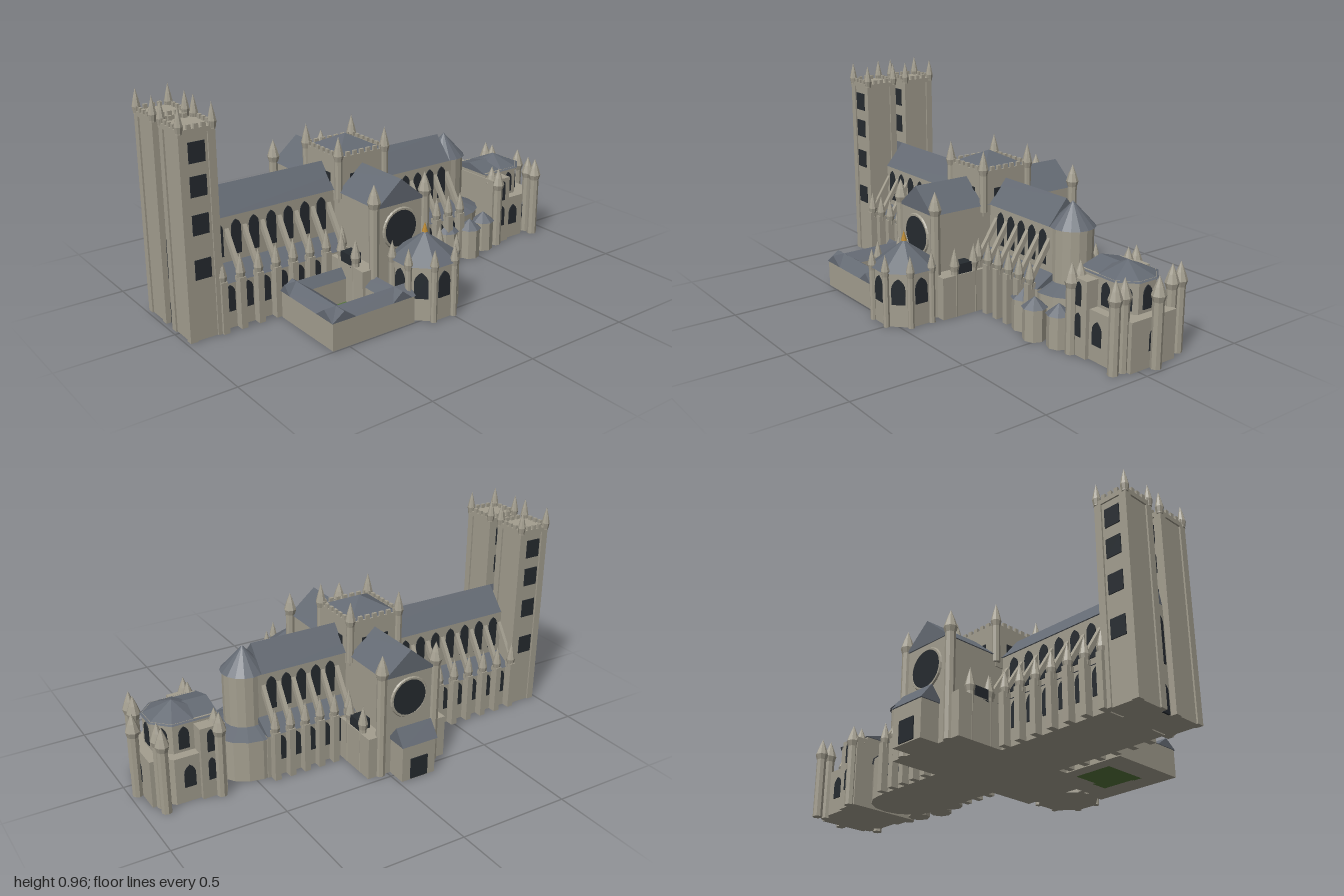
import * as THREE from 'three';

const mat = (color) => new THREE.MeshStandardMaterial({ color, flatShading: true, side: THREE.DoubleSide });
const ZC = -0.08; // long axis of the church
const XC = -0.1;  // crossing axis

export function createModel() {
  const root = new THREE.Group();
  const stone = mat(0xa39e8f), slate = mat(0x646a73), dark = mat(0x262b30), lawn = mat(0x55743a), gold = mat(0xb8862b);
  let part = root;
  const begin = (name) => { part = new THREE.Group(); part.name = name; root.add(part); };

  const add = (name, geo, m, x = 0, y = 0, z = 0) => {
    const mesh = new THREE.Mesh(geo, m);
    mesh.name = name;
    mesh.position.set(x, y, z);
    part.add(mesh);
    return mesh;
  };
  // box given by its limits on each axis
  const box = (name, m, x0, x1, y0, y1, z0, z1) =>
    add(name, new THREE.BoxGeometry(x1 - x0, y1 - y0, z1 - z0), m, (x0 + x1) / 2, (y0 + y1) / 2, (z0 + z1) / 2);
  const drum = (name, m, x, z, rBottom, rTop, y0, y1, n = 8, turn = 0) => {
    const mesh = add(name, new THREE.CylinderGeometry(rTop, rBottom, y1 - y0, n), m, x, (y0 + y1) / 2, z);
    mesh.rotation.y = turn;
    return mesh;
  };
  // (z, y) outline swept along x from x0 to x1
  const sweepX = (name, m, pts, x0, x1) => {
    const s = new THREE.Shape(pts.map(([z, y]) => new THREE.Vector2(-z, y)));
    const mesh = add(name, new THREE.ExtrudeGeometry(s, { depth: x1 - x0, bevelEnabled: false }), m, x0);
    mesh.rotation.y = Math.PI / 2;
    return mesh;
  };
  const ridgeX = (x0, x1, z0, z1, y0, y1) => sweepX('roof', slate, [[z0, y0], [z1, y0], [(z0 + z1) / 2, y1]], x0, x1);
  const ridgeZ = (x0, x1, z0, z1, y0, y1) => {
    const s = new THREE.Shape([[x0, y0], [x1, y0], [(x0 + x1) / 2, y1]].map((p) => new THREE.Vector2(...p)));
    add('roof', new THREE.ExtrudeGeometry(s, { depth: z1 - z0, bevelEnabled: false }), slate, 0, 0, z0);
  };
  // pointed window facing the direction "turn" about y
  const archWindow = (x, y, z, w, h, turn = 0) => {
    const s = new THREE.Shape();
    s.moveTo(-w / 2, 0);
    s.lineTo(w / 2, 0);
    s.lineTo(w / 2, h - w * 0.8);
    s.quadraticCurveTo(w / 2, h - w * 0.3, 0, h);
    s.quadraticCurveTo(-w / 2, h - w * 0.3, -w / 2, h - w * 0.8);
    const geo = new THREE.ExtrudeGeometry(s, { depth: 0.008, bevelEnabled: false, curveSegments: 4 });
    geo.translate(0, 0, -0.004);
    add('window', geo, dark, x, y, z).rotation.y = turn;
  };
  // octagonal shaft with a flared collar and a spire
  const turret = (x, z, y0, y1, r, spire = 0.085) => {
    const c = y1 - spire;
    const pts = [[0, y0], [r * 0.75, y0], [r * 0.75, c - 0.025], [r, c], [r * 0.6, c + spire * 0.45], [0, y1]];
    add('turret', new THREE.LatheGeometry(pts.map((p) => new THREE.Vector2(...p)), 8), stone, x, 0, z);
  };
  const battlements = (x0, x1, z0, z1, y, n) => {
    const t = 0.012, h = 0.018;
    for (let i = 0; i < n; i++) {
      const f = (i + 0.5) / n, hx = (x1 - x0) / n / 3.6, hz = (z1 - z0) / n / 3.6;
      const cx = x0 + (x1 - x0) * f, cz = z0 + (z1 - z0) * f;
      for (const z of [z0, z1 - t]) box('merlon', stone, cx - hx, cx + hx, y, y + h, z, z + t);
      for (const x of [x0, x1 - t]) box('merlon', stone, x, x + t, y, y + h, cz - hz, cz + hz);
    }
  };

  // Twin west towers
  for (const [z0, z1] of [[-0.05, 0.11], [-0.265, -0.105]]) {
    begin('westTower');
    const x0 = -0.985, x1 = -0.83, p = 0.032;
    box('core', stone, x0 + 0.007, x1 - 0.007, 0, 0.85, z0 + 0.007, z1 - 0.007);
    box('parapet', stone, x0, x1, 0.85, 0.87, z0, z1);
    for (const x of [x0, x1 - p]) for (const z of [z0, z1 - p]) box('cornerPier', stone, x, x + p, 0, 0.85, z, z + p);
    for (const y of [0.26, 0.445, 0.6, 0.735])
      box('window', dark, -0.945, -0.875, y, y + 0.083, z0 + 0.003, z1 - 0.003);
    battlements(x0, x1, z0, z1, 0.87, 5);
    for (const x of [x0 + 0.008, x1 - 0.008]) for (const z of [z0 + 0.008, z1 - 0.008]) turret(x, z, 0.855, 0.96, 0.018, 0.075);
  }

  // Nave and choir with clerestory and aisles
  begin('nave');
  box('clerestoryWall', stone, -0.96, 0.47, 0, 0.45, ZC - 0.085, ZC + 0.085);
  ridgeX(-0.83, 0.43, ZC - 0.092, ZC + 0.092, 0.45, 0.557);
  ridgeX(-0.96, -0.83, ZC - 0.028, ZC + 0.028, 0.45, 0.557);
  archWindow(-0.96, 0.2, ZC, 0.04, 0.2, Math.PI / 2);
  archWindow(-0.96, 0, ZC, 0.04, 0.12, Math.PI / 2);
  for (const s of [-1, 1]) {
    const zOut = ZC + s * 0.165;
    sweepX('aisle', stone, [[ZC, 0], [zOut, 0], [zOut, 0.2], [ZC, 0.2]], -0.83, 0.45);
    sweepX('aisleRoof', slate, [[ZC + s * 0.08, 0.2], [zOut + s * 0.006, 0.2], [ZC + s * 0.08, 0.255]], -0.83, 0.45);
    for (const [start, bay, n] of [[-0.83, 0.083, 7], [0.065, 0.071, 5]]) {
      for (let i = 0; i <= n; i++) {
        const x = start + i * bay, zb = ZC + s * 0.182;
        box('buttress', stone, x - 0.014, x + 0.014, 0, 0.225, zb - 0.02, zb + 0.02);
        turret(x, zb, 0.2, 0.325, 0.021, 0.08);
        sweepX('flyingButtress', stone,
          [[zb, 0.215], [zb, 0.25], [ZC + s * 0.08, 0.405], [ZC + s * 0.08, 0.365]], x - 0.009, x + 0.009);
        if (i === n) continue;
        archWindow(x + bay / 2, 0.28, ZC + s * 0.085, 0.045, 0.15);
        archWindow(x + bay / 2, 0.075, zOut, 0.043, 0.115);
      }
    }
  }

  // Transepts with side aisles, corner turrets and rose windows
  begin('transept');
  box('wall', stone, XC - 0.12, XC + 0.12, 0, 0.45, -0.47, 0.31);
  ridgeZ(XC - 0.127, XC + 0.127, -0.475, 0.315, 0.45, 0.557);
  for (const [z, out] of [[0.31, 1], [-0.47, -1]]) {
    box('transeptAisle', stone, XC - 0.195, XC + 0.195, 0, 0.19, out > 0 ? 0.05 : -0.47, out > 0 ? 0.31 : -0.2);
    add('roseRing', new THREE.TorusGeometry(0.085, 0.008, 6, 24), stone, XC, 0.34, z);
    const rose = add('roseWindow', new THREE.CylinderGeometry(0.083, 0.083, 0.012, 24), dark, XC, 0.34, z);
    rose.rotation.x = Math.PI / 2;
    for (const s of [-1, 1]) {
      turret(XC + s * 0.133, z - out * 0.005, 0, 0.56, 0.029, 0.08);
      for (const d of [0.07, 0.17]) turret(XC + s * 0.18, z - out * d, 0, 0.31, 0.022, 0.08);
      const xa = XC + s * 0.165;
      box('aisleWindow', dark, xa - 0.03, xa + 0.025, 0.18, 0.235, z - out * 0.12 - 0.035, z - out * 0.12 + 0.035);
    }
  }

  // Crossing tower
  begin('crossingTower');
  box('wall', stone, XC - 0.125, XC + 0.125, 0.4, 0.6, ZC - 0.125, ZC + 0.125);
  box('windowsEastWest', dark, XC - 0.129, XC + 0.129, 0.46, 0.52, ZC - 0.065, ZC + 0.065);
  box('windowsNorthSouth', dark, XC - 0.065, XC + 0.065, 0.46, 0.52, ZC - 0.129, ZC + 0.129);
  battlements(XC - 0.125, XC + 0.125, ZC - 0.125, ZC + 0.125, 0.6, 7);
  drum('roof', slate, XC, ZC, 0.165, 0, 0.6, 0.66, 4, Math.PI / 4);
  for (const sx of [-1, 1]) for (const sz of [-1, 1]) turret(XC + sx * 0.122, ZC + sz * 0.122, 0.42, 0.695, 0.023, 0.085);

  // Rounded east end with ambulatory and small chapels
  begin('apse');
  drum('apseWall', stone, 0.47, ZC, 0.09, 0.09, 0, 0.45, 16);
  drum('apseRoof', slate, 0.47, ZC, 0.098, 0, 0.45, 0.557, 16);
  drum('ambulatory', stone, 0.467, ZC, 0.163, 0.163, 0, 0.19, 16);
  drum('ambulatoryRoof', slate, 0.467, ZC, 0.17, 0.085, 0.19, 0.222, 16);
  for (const [x, z] of [[0.36, 0.085], [0.47, 0.117], [0.585, 0.085]]) {
    drum('smallChapel', stone, x, z, 0.05, 0.05, 0, 0.14);
    drum('smallChapelRoof', slate, x, z, 0.056, 0, 0.14, 0.185);
  }

  // Lady chapel at the far east
  begin('eastChapel');
  box('westBlock', stone, 0.64, 0.75, 0, 0.325, -0.25, 0.09);
  box('roofWall', stone, 0.645, 0.75, 0.32, 0.345, -0.19, 0.03);
  ridgeX(0.64, 0.75, -0.2, 0.04, 0.34, 0.375);
  for (const z of [0.09, -0.25]) for (const y of [0.085, 0.215]) archWindow(0.705, y, z, 0.03, 0.1);
  drum('outerWall', stone, 0.795, ZC, 0.165, 0.165, 0, 0.21, 8, Math.PI / 8);
  drum('innerWall', stone, 0.795, ZC, 0.12, 0.12, 0.2, 0.345, 8, Math.PI / 8);
  drum('roof', slate, 0.795, ZC, 0.13, 0, 0.34, 0.395, 8, Math.PI / 8);
  for (let i = -2; i <= 2; i++) {
    const a = Math.PI / 2 + i * Math.PI / 4, sx = Math.sin(a), cz = Math.cos(a);
    archWindow(0.795 + sx * 0.111, 0.225, ZC + cz * 0.111, 0.045, 0.1, a);
    archWindow(0.795 + sx * 0.1525, 0.07, ZC + cz * 0.1525, 0.05, 0.1, a);
  }
  for (const s of [-1, 1])
    for (const [x, d] of [[0.668, 0.175], [0.668, 0.13], [0.912, 0.175], [0.912, 0.128]]) turret(x, ZC + s * d, 0, 0.385, 0.03, 0.08);
  turret(0.966, ZC, 0, 0.38, 0.031, 0.08);
  box('eastWall', stone, 0.9, 0.95, 0, 0.21, ZC - 0.12, ZC + 0.12);

  // Octagonal chapter house
  begin('chapterHouse');
  const hx = -0.05, hz = 0.41;
  drum('wall', stone, hx, hz, 0.137, 0.137, 0, 0.24, 8, Math.PI / 8);
  drum('roof', slate, hx, hz, 0.15, 0, 0.24, 0.347, 8, Math.PI / 8);
  drum('finial', gold, hx, hz, 0.013, 0, 0.345, 0.388);
  for (let i = 0; i < 8; i++) {
    const a = i * Math.PI / 4, b = a + Math.PI / 8;
    archWindow(hx + Math.sin(a) * 0.127, 0.1, hz + Math.cos(a) * 0.127, 0.06, 0.115, a);
    turret(hx + Math.sin(b) * 0.139, hz + Math.cos(b) * 0.139, 0, 0.32, 0.019, 0.07);
  }

  // Cloister around a lawn
  begin('cloister');
  box('lawn', lawn, -0.48, -0.25, 0, 0.012, 0.17, 0.4);
  const ranges = [[-0.575, -0.17, 0.39, 0.495, 1], [-0.575, -0.28, 0.13, 0.19, 1], [-0.575, -0.47, 0.13, 0.495, 0], [-0.28, -0.19, 0.13, 0.495, 0]];
  for (const [x0, x1, z0, z1, alongX] of ranges) {
    box('rangeWall', stone, x0, x1, 0, 0.122, z0, z1);
    (alongX ? ridgeX : ridgeZ)(x0 - 0.004, x1 + 0.004, z0 - 0.004, z1 + 0.004, 0.12, 0.16);
  }

  // North porch
  begin('northPorch');
  box('wall', stone, -0.18, -0.015, 0, 0.167, -0.56, -0.46);
  ridgeX(-0.186, -0.01, -0.567, -0.46, 0.165, 0.235);
  box('door', dark, -0.14, -0.055, 0.005, 0.1, -0.565, -0.555);

  return root;
}
